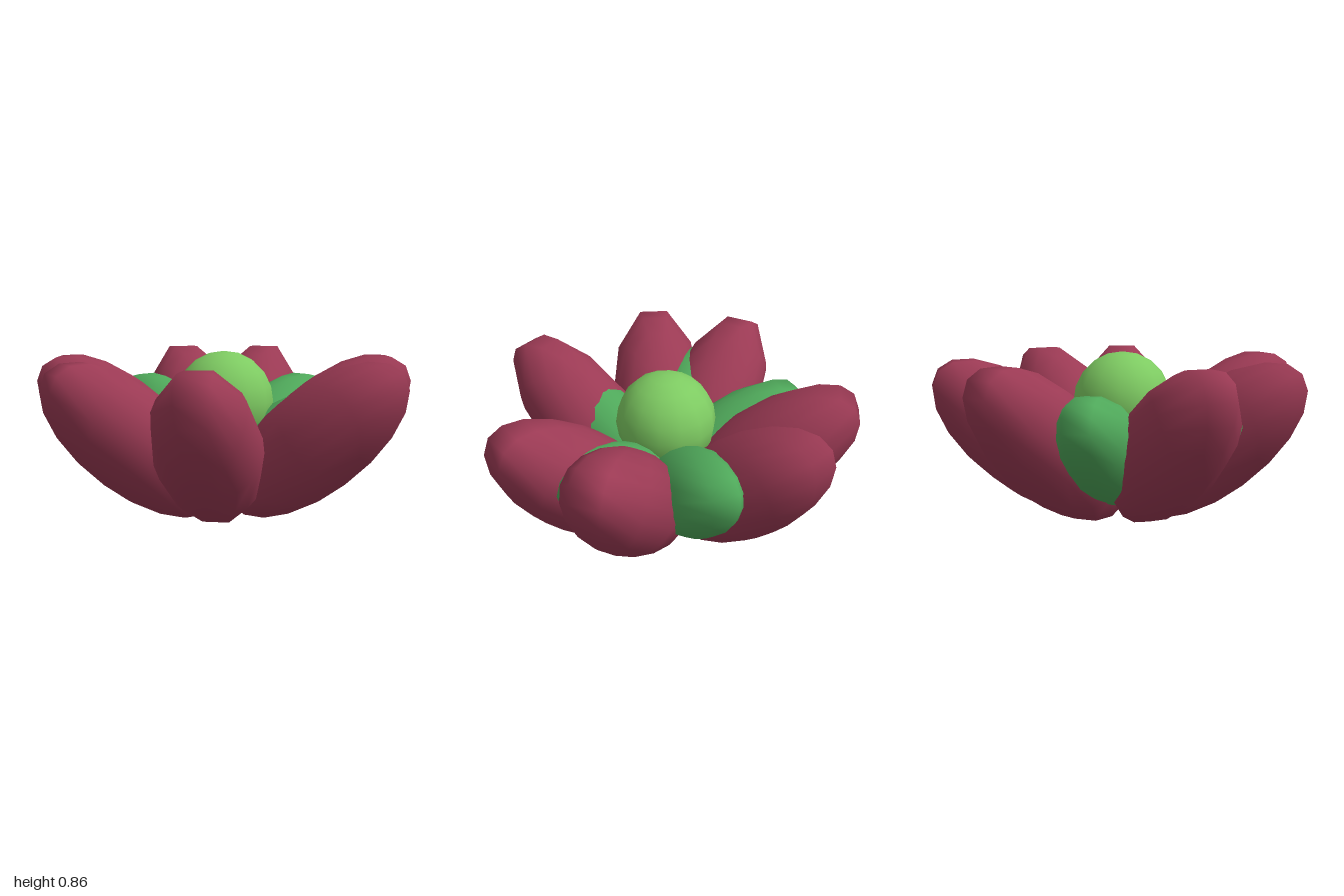
import * as THREE from 'three';

export function createModel() {
  const model = new THREE.Group();
  model.name = 'flower';

  const outerRed = new THREE.MeshStandardMaterial({ color: 0x9b3a54 });
  outerRed.name = 'maroon';
  const innerGreen = new THREE.MeshStandardMaterial({ color: 0x4fa85a });
  innerGreen.name = 'leaf green';
  const lime = new THREE.MeshStandardMaterial({ color: 0x7ecb62 });
  lime.name = 'lime';

  // Ten sides around the blade give each petal its blunt tip
  const petalGeometry = new THREE.SphereGeometry(1, 10, 10);

  // Ring of tilted ellipsoid petals; every second one is turned a little further
  function petalRing(name, material, count, { size, radius, height, tilt }) {
    const ring = new THREE.Group();
    ring.name = name + 's';
    for (let i = 0; i < count; i++) {
      const arm = new THREE.Group();
      arm.name = name + 'Arm';
      arm.rotation.y = (i * 2 * Math.PI) / count + (i % 2) * 0.3;
      const petal = new THREE.Mesh(petalGeometry, material);
      petal.name = name;
      petal.scale.set(...size);
      petal.position.set(0, height, radius);
      petal.rotation.x = -tilt;
      arm.add(petal);
      ring.add(arm);
    }
    model.add(ring);
  }

  petalRing('outerPetal', outerRed, 7, {
    size: [0.272, 0.268, 0.6], radius: 0.53, height: 0.418, tilt: 0.7,
  });
  petalRing('innerPetal', innerGreen, 5, {
    size: [0.23, 0.235, 0.51], radius: 0.375, height: 0.382, tilt: 0.52,
  });

  // Round centre bud
  const bud = new THREE.Mesh(new THREE.SphereGeometry(0.265, 14, 10), lime);
  bud.name = 'centreBud';
  bud.position.y = 0.6;
  model.add(bud);

  return model;
}
